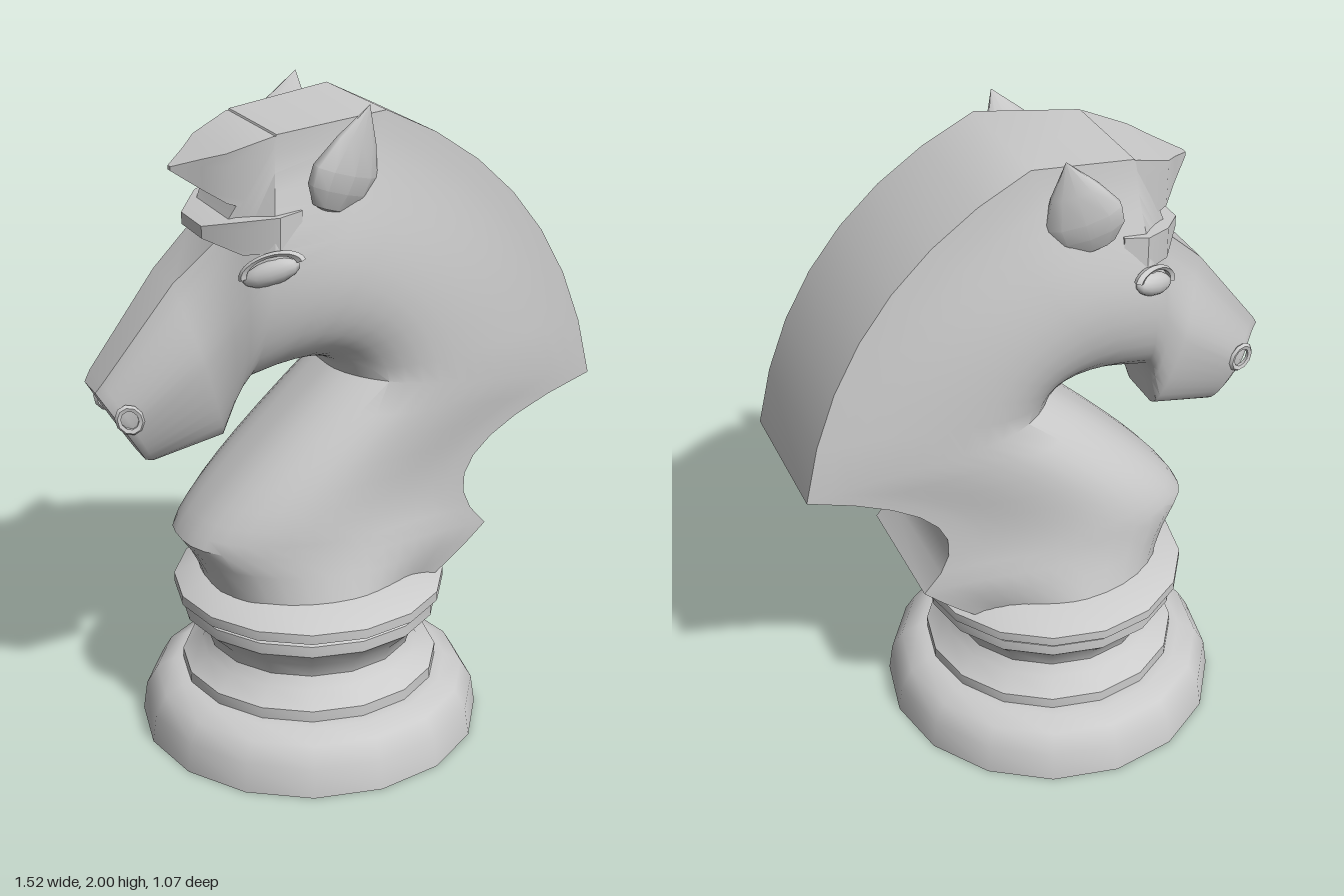
import * as THREE from 'three';
import { toCreasedNormals } from 'three/addons/utils/BufferGeometryUtils.js';

const material = new THREE.MeshStandardMaterial({ color: 0xcccccc });

function part(name, geometry, crease = 0.65) {
  const mesh = new THREE.Mesh(toCreasedNormals(geometry, crease), material);
  mesh.name = name;
  return mesh;
}

// Half-profile of one section: rounded up to u = p, then easing to the flat back edge.
function halfWidth(u, wf, wm, wb, p) {
  if (u < p) return wf + (wm - wf) * Math.sqrt(1 - (1 - u / p) ** 2);
  return wb + (wm - wb) * (1 - THREE.MathUtils.smoothstep(u, p, 1));
}

// Closed loft. Each row: front x, y, back x, y, half-widths at front, middle, back, place of the middle.
function loft(rows, steps) {
  const pos = [], index = [], n = steps * 4 + 2, last = rows.length - 1;
  for (const [fx, fy, bx, by, wf, wm, wb, p] of rows) {
    const ring = [];
    for (let i = 0; i <= steps * 2; i++) {
      const u = i <= steps ? p * (1 - Math.cos((i / steps) * Math.PI / 2)) : p + (1 - p) * (i / steps - 1);
      ring.push([fx + (bx - fx) * u, fy + (by - fy) * u, halfWidth(u, wf, wm, wb, p)]);
    }
    ring.forEach(v => pos.push(...v));
    ring.reverse().forEach(([x, y, z]) => pos.push(x, y, -z));
  }
  for (let r = 0; r < last; r++) {
    for (let j = 0; j < n; j++) {
      const a = r * n + j, b = r * n + (j + 1) % n;
      index.push(a, b, a + n, b, b + n, a + n);
    }
  }
  // End caps
  for (const r of [0, last]) {
    const [fx, fy, bx, by] = rows[r], c = pos.length / 3;
    pos.push((fx + bx) / 2, (fy + by) / 2, 0);
    for (let j = 0; j < n; j++) {
      const a = r * n + j, b = r * n + (j + 1) % n;
      index.push(c, r ? a : b, r ? b : a);
    }
  }
  const g = new THREE.BufferGeometry();
  g.setAttribute('position', new THREE.Float32BufferAttribute(pos, 3));
  g.setIndex(index);
  return g;
}

// Fills in rows between two key sections, bending both edges toward a control point.
function bend(from, to, steps, control) {
  return Array.from({ length: steps }, (_, i) => {
    const t = (i + 1) / steps;
    return from.map((a, k) => k < control.length
      ? a * (1 - t) ** 2 + 2 * control[k] * t * (1 - t) + to[k] * t * t
      : a + (to[k] - a) * t);
  });
}

// Upright wedge from rows of x, bottom, top, half-width
const wedge = rows => loft(rows.map(([x, y0, y1, w]) => [x, y0, x, y1, w, w, w, 0.5]), 2);

const turned = (points, sides) =>
  new THREE.LatheGeometry(points.map(([r, y]) => new THREE.Vector2(r, y)), sides);

export function createModel() {
  const model = new THREE.Group();
  model.name = 'chessKnight';

  // Turned base
  const base = part('base', turned([
    [0, 0], [0.533, 0], [0.52, 0.09], [0.485, 0.15], [0.43, 0.178], [0.4, 0.18],
    [0.4, 0.215], [0.34, 0.255], [0.32, 0.29], [0.335, 0.335], [0.4, 0.4],
    [0.4, 0.435], [0.38, 0.45], [0.42, 0.455], [0.42, 0.485], [0.33, 0.53], [0, 0.53]], 16));
  base.position.x = -0.085;
  model.add(base);

  // Neck, mane and head in one sweep: foot, chest, mane tip, crown, forehead, nose
  const foot = [-0.41, 0.49, 0.25, 0.49, 0.03, 0.32, 0.2, 0.5];
  const chest = [-0.51, 0.69, 0.42, 0.64, 0.03, 0.28, 0.21, 0.46];
  const maneTip = [-0.04, 1.18, 0.76, 1.09, 0.04, 0.25, 0.222, 0.34];
  const crown = [-0.26, 1.235, 0.07, 1.968, 0.1, 0.27, 0.2, 0.4];
  const forehead = [-0.33, 1.21, -0.25, 1.925, 0.09, 0.25, 0.175, 0.42];
  const browLine = [-0.365, 1.12, -0.41, 1.62, 0.08, 0.18, 0.1, 0.5];
  const muzzle = [-0.39, 1.03, -0.53, 1.51, 0.07, 0.14, 0.08, 0.5];
  const nose = [-0.6, 0.977, -0.74, 1.24, 0.05, 0.105, 0.06, 0.5];
  const noseTip = [-0.62, 0.98, -0.76, 1.21, 0.045, 0.085, 0.05, 0.5];
  model.add(part('neckAndHead', loft([
    foot,
    ...bend(foot, chest, 3, [-0.43, 0.59, 0.33, 0.55]),
    ...bend(chest, maneTip, 8, [-0.46, 0.8, 0.15, 0.895]),
    ...bend(maneTip, crown, 7, [-0.06, 1.27, 0.645, 1.73]),
    forehead,
    ...bend(forehead, browLine, 2, [-0.352, 1.175, -0.38, 1.69]),
    muzzle, nose, noseTip], 8)));

  // Pointed forelock and brow ridge
  model.add(part('forelock', wedge([
    [-0.15, 1.7, 1.92, 0.17], [-0.26, 1.7, 1.92, 0.174], [-0.38, 1.735, 1.875, 0.13],
    [-0.43, 1.765, 1.853, 0.075], [-0.5, 1.812, 1.824, 0.01]])));
  model.add(part('brow', wedge([
    [-0.2, 1.62, 1.72, 0.23], [-0.27, 1.61, 1.71, 0.24],
    [-0.36, 1.6, 1.695, 0.185], [-0.44, 1.63, 1.665, 0.08]])));

  // Ears, eyes and nostrils on both sides
  for (const s of [1, -1]) {
    const side = s > 0 ? 'left' : 'right';
    const add = (name, geometry, crease, scale, [x, y, z], [rx, ry, rz]) => {
      const mesh = part(side + name, geometry, crease);
      mesh.scale.set(...scale);
      mesh.position.set(x, y, s * z);
      mesh.rotation.set(s * rx, s * ry, rz);
      model.add(mesh);
    };
    add('Ear', turned([[0, 0], [0.07, 0.02], [0.11, 0.075], [0.115, 0.13], [0.07, 0.22], [0, 0.325]], 10),
      0.65, [1, 1, 0.38], [-0.11, 1.695, 0.215], [0.19, 0.2, -0.33]);
    add('Eye', new THREE.SphereGeometry(1, 12, 8),
      1, [0.085, 0.035, 0.028], [-0.295, 1.555, 0.232], [0, -0.5, 0.35]);
    add('Eyelid', new THREE.TorusGeometry(0.085, 0.014, 5, 12, Math.PI),
      1, [1, 0.5, 1], [-0.295, 1.565, 0.238], [0, -0.5, 0.35]);
    add('Nostril', new THREE.TorusGeometry(0.032, 0.009, 5, 10),
      1, [1, 1.2, 1], [-0.68, 1.135, 0.104], [0, -0.15, 0.5]);
  }
  return model;
}
